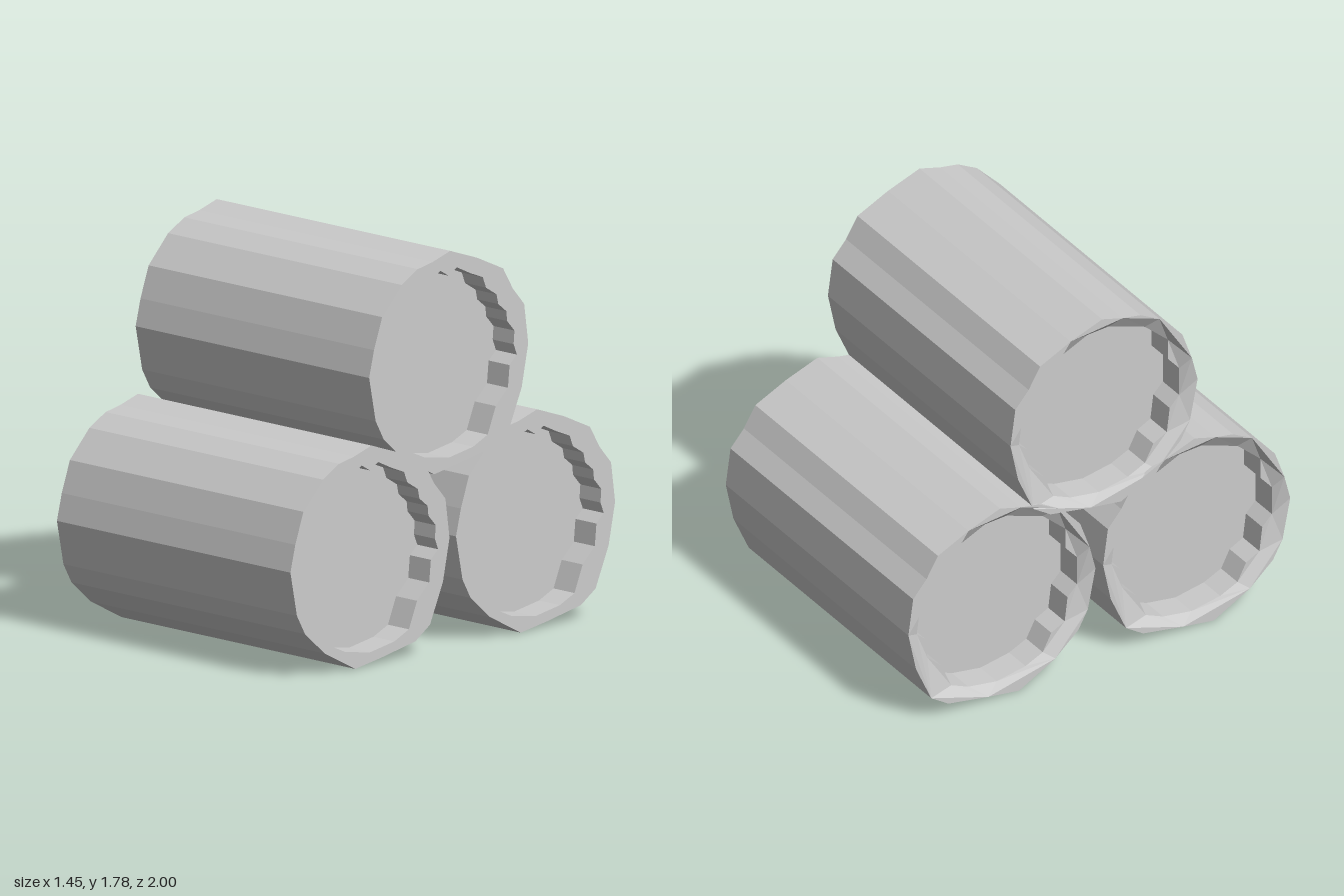
import * as THREE from 'three';

const HALF = 0.724;     // half length of a log
const RECESS = 0.13;    // depth of the sunken end faces
const FUNNEL = 0.04;    // how far the right-hand rim slopes inwards

const points = (list) => list.map(([z, y]) => new THREE.Vector2(-z, y));

// Cross-sections as [z, y] about the log's centre
const bark = points([
  [-.01, .49], [.1, .457], [.19, .44], [.29, .385], [.41, .26], [.46, .12], [.49, 0],
  [.45, -.2], [.4, -.29], [.28, -.395], [.09, -.495], [-.07, -.47], [-.28, -.43],
  [-.37, -.37], [-.45, -.19], [-.49, 0], [-.465, .18], [-.395, .26], [-.335, .36],
  [-.175, .433],
]);
const core = points([
  [-.05, .41], [0, .38], [.05, .41], [.15, .36], [.24, .34], [.36, .23], [.36, .13],
  [.42, .06], [.42, -.08], [.37, -.13], [.355, -.25], [.285, -.285], [.24, -.37],
  [.15, -.41], [0, -.435], [-.15, -.41], [-.24, -.37], [-.29, -.25], [-.365, -.18],
  [-.375, -.08], [-.42, -.04], [-.4, .01], [-.405, .07], [-.36, .12], [-.355, .165],
  [-.305, .205], [-.295, .25], [-.23, .29], [-.21, .34], [-.135, .37],
]);

// Open wall following a loop between two x positions
function wall(loop, x0, x1, inward = false) {
  const pos = [];
  const index = [];
  const n = loop.length;
  loop.forEach((p, i) => {
    pos.push(x0, p.y, -p.x, x1, p.y, -p.x);
    const a = 2 * i, b = 2 * ((i + 1) % n);
    if (inward) index.push(a, a + 1, b, b, a + 1, b + 1);
    else index.push(a, b, a + 1, b, b + 1, a + 1);
  });
  const geo = new THREE.BufferGeometry();
  geo.setAttribute('position', new THREE.Float32BufferAttribute(pos, 3));
  geo.setIndex(index);
  geo.computeVertexNormals();
  return geo;
}

// Flat face across the log; side is +1 or -1 for the direction it faces
function face(loop, x, side, hole, slope = 0) {
  const shape = new THREE.Shape(loop);
  if (hole) shape.holes.push(new THREE.Path(hole));
  const geo = new THREE.ShapeGeometry(shape);
  const pos = geo.attributes.position;
  // sink the inner edge of a sloping rim
  for (let i = loop.length; i < pos.count; i++) pos.setZ(i, -side * slope);
  geo.rotateY(Math.PI / 2).translate(x, 0, 0);
  if (side < 0) geo.setIndex(Array.from(geo.index.array).reverse());
  geo.computeVertexNormals();
  return geo;
}

export function createModel() {
  const model = new THREE.Group();
  model.name = 'logPile';
  const wood = new THREE.MeshStandardMaterial({ color: 0xcccccc, flatShading: true });

  const innerRight = -HALF + FUNNEL;
  const parts = {
    bark: wall(bark, -HALF, HALF),
    leftRim: face(bark, HALF, 1, core),
    leftRecess: wall(core, HALF - RECESS, HALF, true),
    leftEnd: face(core, HALF - RECESS, 1),
    rightRim: face(bark, -HALF, -1, core, FUNNEL),
    rightRecess: wall(core, innerRight, innerRight + RECESS, true),
    rightEnd: face(core, innerRight + RECESS, -1),
  };

  // Two logs on the ground and one resting on top
  const places = { frontLog: [.495, .51], backLog: [.495, -.51], topLog: [1.29, .025] };
  for (const [name, [y, z]] of Object.entries(places)) {
    const log = new THREE.Group();
    log.name = name;
    log.position.set(0, y, z);
    for (const [part, geo] of Object.entries(parts)) {
      const mesh = new THREE.Mesh(geo, wood);
      mesh.name = part;
      log.add(mesh);
    }
    model.add(log);
  }
  return model;
}
